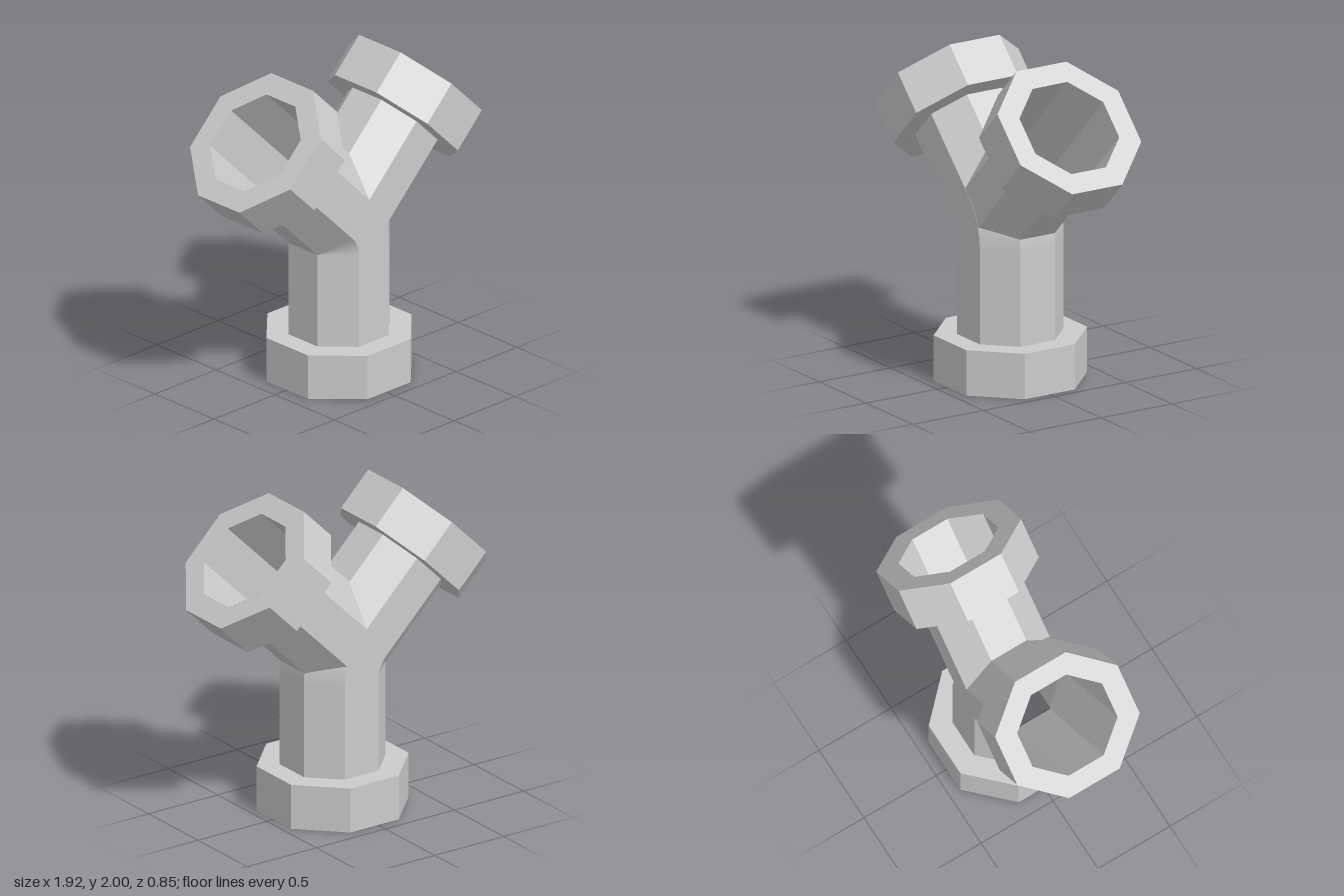
import * as THREE from 'three';

const S = Math.SQRT1_2;
const PIPE = 0.295, FLANGE = 0.425, FLANGE_H = 0.28; // octagon apothems, collar height
const BASE_X = 0.025, BEND_Y = 0.87, ARM_X = 0.66, SPLIT_X = -0.01;
const grey = new THREE.MeshStandardMaterial({ color: 0xcccccc, side: THREE.DoubleSide });

// Point on the octagon outline: side k, fraction f along it -> [in-plane offset, z]
function octagon(apothem, k, f) {
  const R = apothem / Math.cos(Math.PI / 8);
  const p = (2 * k - 1) * Math.PI / 8, q = (2 * k + 1) * Math.PI / 8;
  return [
    R * THREE.MathUtils.lerp(Math.cos(p), Math.cos(q), f),
    R * THREE.MathUtils.lerp(Math.sin(p), Math.sin(q), f),
  ];
}

// Eight separate strips, so the long edges stay sharp and the bend stays smooth.
// place(i, a, z) gives the surface point at station i; skip(point) marks hidden points.
function octagonPipe(name, apothem, stations, place, skip = () => false) {
  const cuts = 6, pos = [], index = [];
  for (let k = 0; k < 8; k++) {
    const start = pos.length / 3, hidden = [];
    for (let i = 0; i < stations; i++) {
      for (let j = 0; j <= cuts; j++) {
        const p = place(i, ...octagon(apothem, k, j / cuts));
        pos.push(p.x, p.y, p.z);
        hidden.push(skip(p));
      }
    }
    for (let i = 0; i < stations - 1; i++) {
      for (let j = 0; j < cuts; j++) {
        const a = i * (cuts + 1) + j, b = a + 1, c = a + cuts + 1, d = c + 1;
        if (hidden[a] && hidden[b] && hidden[c] && hidden[d]) continue;
        index.push(...[a, c, b, b, c, d].map((v) => v + start));
      }
    }
  }
  const geo = new THREE.BufferGeometry();
  geo.setAttribute('position', new THREE.Float32BufferAttribute(pos, 3));
  geo.setIndex(index);
  geo.computeVertexNormals();
  const mesh = new THREE.Mesh(geo, grey);
  mesh.name = name;
  return mesh;
}

// Octagonal collar; its local +y points from the open mouth into the fitting
function collar(name, x, y, angle) {
  const c = Math.cos(Math.PI / 8), r = PIPE / c, R = FLANGE / c;
  const profile = [[r, 0], [R, 0], [R, FLANGE_H], [r, FLANGE_H]].map((p) => new THREE.Vector2(...p));
  const geo = new THREE.LatheGeometry(profile, 8, Math.PI / 8).toNonIndexed();
  geo.computeVertexNormals();
  const mesh = new THREE.Mesh(geo, grey);
  mesh.name = name;
  mesh.position.set(x, y, 0);
  mesh.rotation.z = angle;
  return mesh;
}

export function createModel() {
  const group = new THREE.Group();
  group.name = 'pipeFitting';

  // Axis of the bent pipe: straight up, 45 degree bend about its inner wall, straight arm
  const pivotX = BASE_X - PIPE, axis = [];
  for (let i = 0; i < 12; i++) axis.push({ x: BASE_X, y: BEND_Y * i / 12, t: 0 });
  for (let i = 0; i <= 16; i++) {
    const t = Math.PI / 4 * i / 16;
    axis.push({ x: pivotX + PIPE * Math.cos(t), y: BEND_Y + PIPE * Math.sin(t), t });
  }
  const end = axis[axis.length - 1], run = end.x + ARM_X;
  for (let i = 1; i <= 24; i++) {
    axis.push({ x: end.x - run * i / 24, y: end.y + run * i / 24, t: Math.PI / 4 });
  }

  // Opening in the bent pipe where the branch joins
  const branchY = 1.04; // branch axis: y = x + branchY
  const inBranch = (p) => {
    const a = Math.abs(p.x + branchY - p.y) * S, z = Math.abs(p.z);
    return p.x > SPLIT_X + 0.01 && Math.max(a, z, (a + z) * S) < PIPE - 0.008;
  };
  group.add(octagonPipe('bentPipe', PIPE, axis.length, (i, a, z) => {
    const s = axis[i];
    return new THREE.Vector3(s.x + a * Math.cos(s.t), s.y + a * Math.sin(s.t), z);
  }, inBranch));

  // Branch pipe, mitred against the other arm above and the upright below
  const branchLength = (ARM_X - SPLIT_X) / S;
  group.add(octagonPipe('branchPipe', PIPE - 0.001, 2, (i, a, z) => {
    const along = i ? branchLength : (a < 0 ? -a : 0.48 * a);
    return new THREE.Vector3(SPLIT_X + (along + a) * S, SPLIT_X + branchY + (along - a) * S, z);
  }));

  // Collars round the three mouths
  group.add(
    collar('baseCollar', BASE_X, 0, 0),
    collar('rightCollar', -ARM_X, end.y + run, -Math.PI * 0.75),
    collar('leftCollar', ARM_X, ARM_X + branchY, Math.PI * 0.75),
  );
  return group;
}
